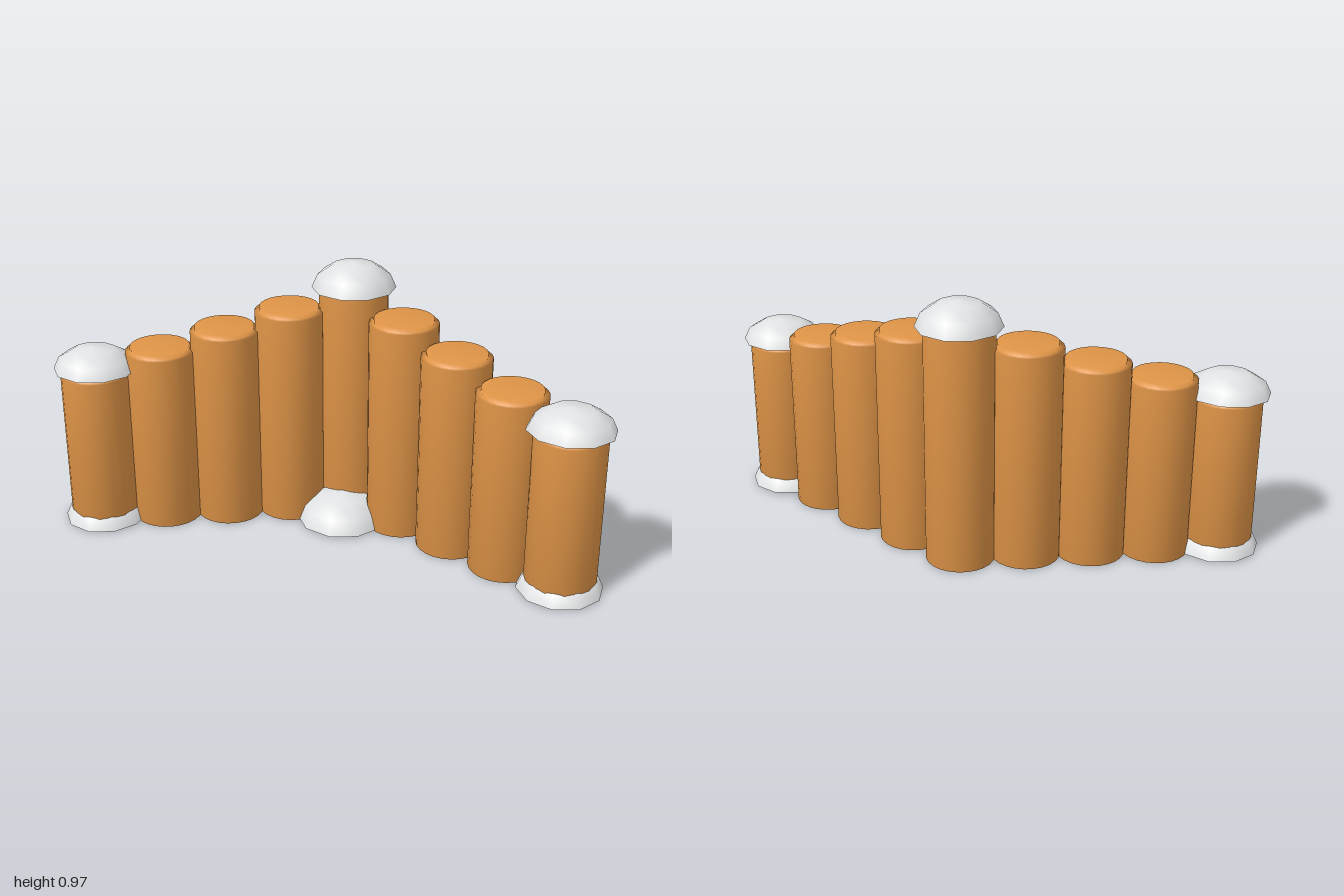
import * as THREE from 'three';

export function createModel() {
  const model = new THREE.Group();
  model.name = 'snowyLogFence';
  const wood = new THREE.MeshStandardMaterial({ color: 0xdf9447 });
  wood.name = 'orange wood';
  const snow = new THREE.MeshStandardMaterial({ color: 0xdfe1e2 });
  snow.name = 'snow white';

  const lathe = (points, sides) =>
    new THREE.LatheGeometry(points.map(([r, y]) => new THREE.Vector2(r, y)), sides);

  const add = (name, geometry, material, x, y, z) => {
    const mesh = new THREE.Mesh(geometry, material);
    mesh.name = name;
    mesh.position.set(x, y, z);
    model.add(mesh);
    return mesh;
  };

  // Upright log with a small inset step at the top
  const log = (h) => lathe([
    [0, 0], [0.125, 0], [0.125, h - 0.017], [0.107, h - 0.017], [0.107, h], [0, h],
  ], 24);

  // Faceted snow dome; the underside is a separate flat disc so its rim stays sharp
  const snowDome = (name, x, y, z, r, h, depth = 1) => {
    const shell = lathe([[r, 0], [r * 0.86, h * 0.5], [r * 0.5, h * 0.87], [0, h]], 10);
    const dome = add(name, shell, snow, x, y, z);
    const base = new THREE.Mesh(lathe([[0, 0], [r, 0]], 10), snow);
    base.name = name + 'Base';
    dome.add(base);
    dome.scale.z = depth;
  };

  // Chevron row of nine logs, tallest at the back centre
  for (let i = -4; i <= 4; i++) {
    const n = Math.abs(i);
    add('log', log(0.876 - n * 0.0665 - (n === 4 ? 0.01 : 0)), wood,
      i * 0.2138, 0, -0.19 + n * 0.0952);
  }

  // Snow on the centre log and on both end logs, top and foot
  snowDome('centreSnowCap', 0, 0.87, -0.19, 0.152, 0.097);
  for (const side of [-1, 1]) {
    snowDome('endSnowCap', side * 0.855, 0.598, 0.19, 0.151, 0.085, 0.94);
    snowDome('endSnowFoot', side * 0.855, 0.004, 0.19, 0.151, 0.09);
  }

  // Snow mound in front of the centre log
  snowDome('snowMound', 0, 0.004, -0.062, 0.169, 0.106);
  return model;
}
